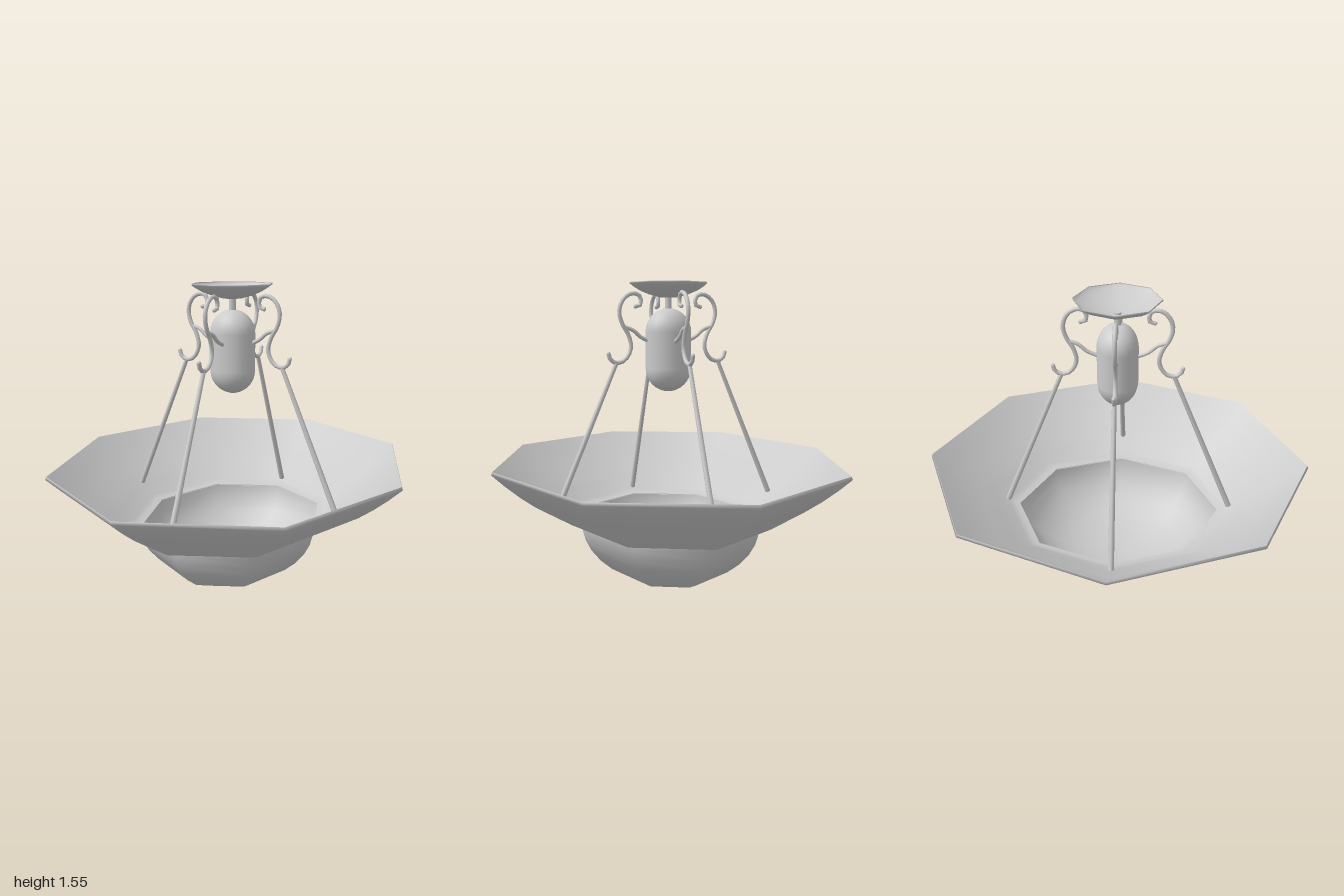
import * as THREE from 'three';

const material = new THREE.MeshStandardMaterial({ color: 0xcccccc, side: THREE.DoubleSide });

function addMesh(parent, name, geometry) {
  const mesh = new THREE.Mesh(geometry, material);
  mesh.name = name;
  parent.add(mesh);
  return mesh;
}

// Octagonal turned part from [radius, height] pairs; widthAt(y) narrows it in x
function addTurned(parent, name, profile, widthAt) {
  const points = profile.map(([r, y]) => new THREE.Vector2(r, y));
  const geometry = new THREE.LatheGeometry(points, 8);
  const pos = geometry.attributes.position;
  for (let i = 0; i < pos.count; i++) pos.setX(i, pos.getX(i) * widthAt(pos.getY(i)));
  return addMesh(parent, name, geometry);
}

// Round bar between two points
function addRod(parent, name, a, b, rA, rB) {
  const dir = b.clone().sub(a);
  const rod = addMesh(parent, name, new THREE.CylinderGeometry(rB, rA, dir.length(), 8));
  rod.position.copy(a).add(b).multiplyScalar(0.5);
  rod.quaternion.setFromUnitVectors(new THREE.Vector3(0, 1, 0), dir.normalize());
}

// Bent bar through [x, y] points, closed at both ends
function addBar(parent, name, points, radius, segments) {
  const curve = new THREE.CatmullRomCurve3(points.map(([x, y]) => new THREE.Vector3(x, y, 0)));
  addMesh(parent, name, new THREE.TubeGeometry(curve, segments, radius, 8));
  for (const t of [0, 1]) {
    const p = curve.getPointAt(t);
    addMesh(parent, name + 'End', new THREE.SphereGeometry(radius, 8, 6).translate(p.x, p.y, p.z));
  }
}

export function createModel() {
  const model = new THREE.Group();
  model.name = 'pendantLamp';

  // Wide octagonal shade, a thin shell that meets the lower bowl at its narrower foot
  const shade = new THREE.Group();
  shade.name = 'shade';
  model.add(shade);
  const shadeWidth = y => THREE.MathUtils.lerp(0.85, 0.907, THREE.MathUtils.smoothstep(y, 0.34, 0.46));
  addTurned(shade, 'shadeOutside', [[0.545, 0.34], [0.575, 0.34], [0.61, 0.352], [0.685, 0.402],
    [0.77, 0.46], [0.85, 0.515], [0.93, 0.578], [1, 0.64], [0.994, 0.655]], shadeWidth);
  addTurned(shade, 'shadeInside', [[0.994, 0.655], [0.922, 0.592], [0.842, 0.528], [0.762, 0.472],
    [0.677, 0.413], [0.605, 0.363], [0.575, 0.351], [0.545, 0.345]], shadeWidth);

  // Lower octagonal bowl
  addTurned(model, 'lowerBowl', [[0, 0.002], [0.1, 0.008], [0.2, 0.027], [0.29, 0.055],
    [0.37, 0.095], [0.44, 0.148], [0.495, 0.207], [0.53, 0.265], [0.546, 0.315], [0.55, 0.343]],
  () => 0.85);

  // Ceiling canopy, an open dish
  addTurned(model, 'canopy', [[0, 1.481], [0.05, 1.484], [0.11, 1.5], [0.16, 1.519],
    [0.192, 1.537], [0.21, 1.55], [0.208, 1.556]], () => 0.98);

  // Central body and stem
  const body = addMesh(model, 'centralBody', new THREE.CapsuleGeometry(0.118, 0.184, 8, 20));
  body.position.y = 1.22;
  body.scale.z = 0.86;
  addRod(model, 'stem', new THREE.Vector3(0, 1.41, 0), new THREE.Vector3(0, 1.49, 0), 0.018, 0.018);

  // Four scroll arms, each with a brace to the body and a rod down to the shade
  const scroll = [[0.317, 1.205], [0.307, 1.176], [0.278, 1.161], [0.239, 1.17], [0.21, 1.205],
    [0.2, 1.244], [0.215, 1.302], [0.244, 1.351], [0.259, 1.4], [0.254, 1.444], [0.229, 1.483],
    [0.19, 1.502], [0.156, 1.493], [0.146, 1.463], [0.155, 1.44], [0.175, 1.438]];
  const brace = [[0.237, 1.338], [0.19, 1.322], [0.15, 1.288], [0.09, 1.262]];
  for (let i = 0; i < 4; i++) {
    const arm = new THREE.Group();
    arm.name = 'arm';
    arm.rotation.y = i * Math.PI / 2;
    model.add(arm);
    addBar(arm, 'scroll', scroll, 0.011, 24);
    addBar(arm, 'brace', brace, 0.01, 8);
    const foot = i % 2 ? new THREE.Vector3(0.605, 0.375, 0) : new THREE.Vector3(0.595, 0.43, 0);
    addRod(arm, 'hangingRod', foot, new THREE.Vector3(0.277, 1.16, 0), 0.015, 0.011);
  }

  return model;
}
